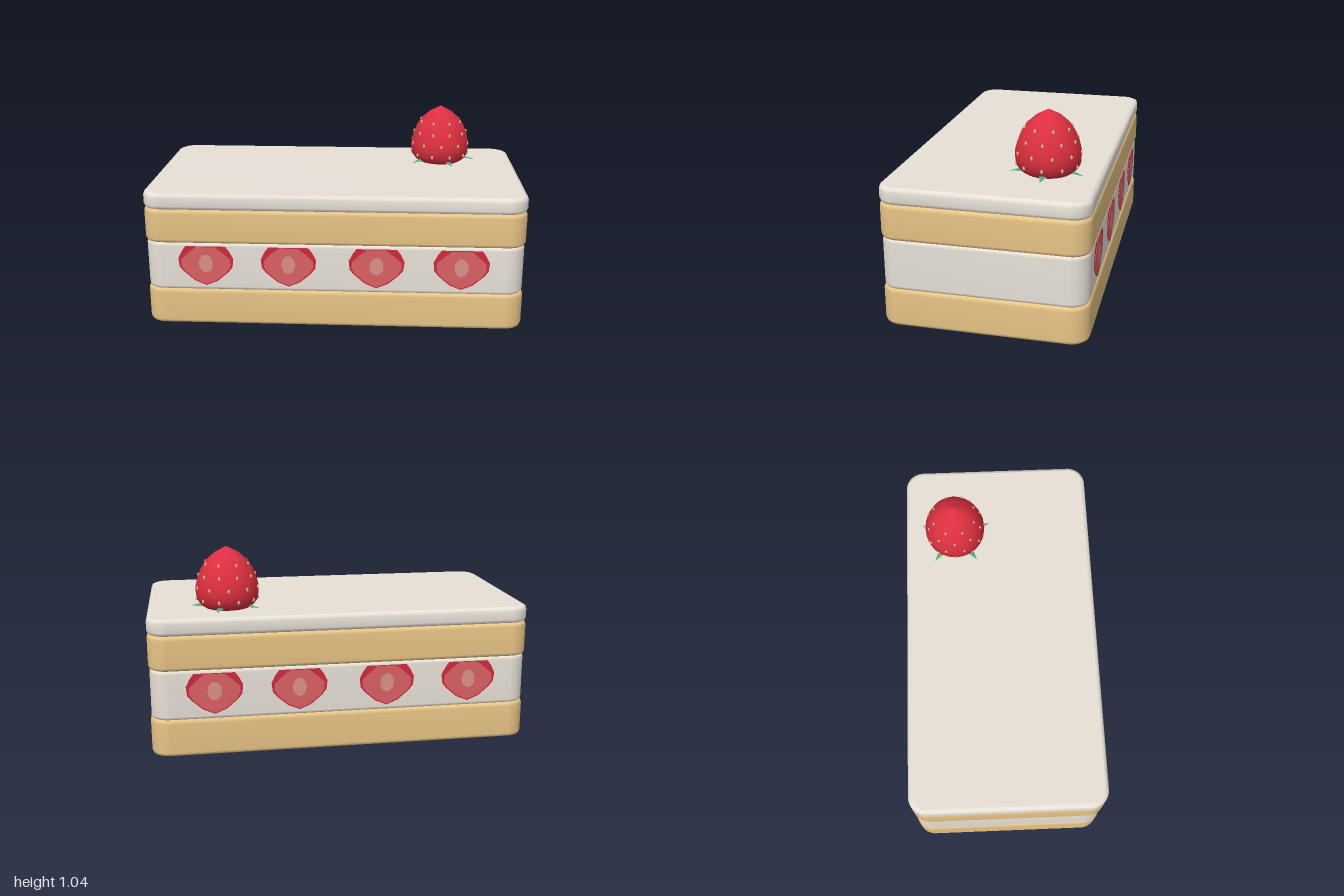
import * as THREE from 'three';
import { mergeVertices } from 'three/addons/utils/BufferGeometryUtils.js';

const material = (name, color) => {
  const m = new THREE.MeshStandardMaterial({ color });
  m.name = name;
  return m;
};

function roundedRect(hx, hz, r) {
  const s = new THREE.Shape();
  s.absarc(hx - r, hz - r, r, 0, Math.PI / 2);
  s.absarc(-hx + r, hz - r, r, Math.PI / 2, Math.PI);
  s.absarc(-hx + r, -hz + r, r, Math.PI, Math.PI * 1.5);
  s.absarc(hx - r, -hz + r, r, Math.PI * 1.5, Math.PI * 2);
  s.closePath();
  return s;
}

// Soft slab with bevelled rims and normals blended over every edge
function layerGeometry(y0, y1, hx, hz, bevel) {
  let g = new THREE.ExtrudeGeometry(roundedRect(hx - bevel, hz - bevel, 0.075), {
    depth: y1 - y0 - 2 * bevel, bevelEnabled: true, bevelThickness: bevel,
    bevelSize: bevel, bevelSegments: 2, curveSegments: 6,
  });
  g.rotateX(-Math.PI / 2);
  g.translate(0, y0 + bevel, 0);
  g.deleteAttribute('normal');
  g.deleteAttribute('uv');
  g = mergeVertices(g, 1e-4);
  g.computeVertexNormals();
  return g;
}

export function createModel() {
  const sponge = material('sponge', 0xe8c486);
  const cream = material('cream', 0xf2ebe1);
  const red = material('berry red', 0xdc2f40);
  const rind = material('slice rind', 0xcf2a3c);
  const flesh = material('slice flesh', 0xda6064);
  const core = material('slice core', 0xdb908a);
  const leafGreen = material('leaf green', 0x5aa87c);
  const seedTan = material('seed tan', 0xe0bd78);

  const cake = new THREE.Group();
  cake.name = 'cake';
  const add = (parent, name, geometry, mat) => {
    const mesh = new THREE.Mesh(geometry, mat);
    mesh.name = name;
    parent.add(mesh);
    return mesh;
  };

  // Cake layers from the bottom up
  add(cake, 'bottomSponge', layerGeometry(0, 0.2, 1, 0.52, 0.022), sponge);
  add(cake, 'creamFilling', layerGeometry(0.195, 0.46, 0.995, 0.515, 0.02), cream);
  add(cake, 'topSponge', layerGeometry(0.455, 0.64, 1, 0.52, 0.022), sponge);
  add(cake, 'topCream', layerGeometry(0.637, 0.725, 1, 0.52, 0.022), cream);

  // Cut berry slices on the front and back of the filling
  const plate = (points) => new THREE.ExtrudeGeometry(
    new THREE.Shape(points.map(([x, y]) => new THREE.Vector2(x, y))),
    { depth: 0.004, bevelEnabled: false });
  const rindShape = plate([
    [0, -0.115], [0.06, -0.09], [0.118, -0.04], [0.14, -0.012], [0.145, 0.035], [0.125, 0.075], [0.105, 0.102],
    [-0.105, 0.102], [-0.125, 0.075], [-0.145, 0.035], [-0.14, -0.012], [-0.118, -0.04], [-0.06, -0.09]]);
  const fleshShape = plate([
    [0, -0.108], [0.055, -0.085], [0.11, -0.038], [0.13, -0.005], [0.128, 0.03], [0.095, 0.062], [0.05, 0.098],
    [-0.05, 0.098], [-0.095, 0.062], [-0.128, 0.03], [-0.13, -0.005], [-0.11, -0.038], [-0.055, -0.085]]);
  const coreShape = new THREE.CircleGeometry(1, 12);
  coreShape.scale(0.037, 0.05, 1);
  for (const side of ['front', 'back']) {
    const row = new THREE.Group();
    row.name = side + 'Slices';
    row.rotation.y = side === 'front' ? 0 : Math.PI;
    [-0.67, -0.235, 0.225, 0.665].forEach((x, i) => {
      const slice = new THREE.Group();
      slice.name = 'berrySlice';
      slice.position.set(x, 0.34, 0.5125);
      slice.scale.x = i % 2 ? -1 : 1;
      add(slice, 'sliceRind', rindShape, rind);
      add(slice, 'sliceFlesh', fleshShape, flesh).position.z = 0.0018;
      add(slice, 'sliceCore', coreShape, core).position.set(0, 0.008, 0.0075);
      row.add(slice);
    });
    cake.add(row);
  }

  // Whole berry standing tip-up on the cream
  const berry = new THREE.Group();
  berry.name = 'berry';
  berry.position.set(0.58, 0.72, -0.24);
  cake.add(berry);
  const profile = [[0, 0], [0.11, 0], [0.14, 0.02], [0.16, 0.048], [0.165, 0.085], [0.164, 0.12],
    [0.153, 0.165], [0.135, 0.21], [0.108, 0.252], [0.063, 0.292], [0, 0.325]];
  add(berry, 'berryBody',
    new THREE.LatheGeometry(profile.map(([r, y]) => new THREE.Vector2(r, y)), 24), red);

  // Seeds in staggered rings
  const seed = new THREE.SphereGeometry(1, 8, 6);
  seed.scale(0.007, 0.011, 0.006);
  const rings = [[0.053, 0.161, 10, 0], [0.115, 0.164, 10, 0.5], [0.177, 0.148, 10, 0], [0.237, 0.118, 8, 0.5]];
  for (const [y, r, count, phase] of rings) {
    for (let i = 0; i < count; i++) {
      const a = ((i + phase) / count) * Math.PI * 2 + Math.PI / 2;
      const s = add(berry, 'seed', seed, seedTan);
      s.position.set(Math.sin(a) * r, y, Math.cos(a) * r);
      s.rotation.y = a;
    }
  }

  // Five pointed leaves around the base
  const leaf = new THREE.ConeGeometry(0.034, 0.11, 4).toNonIndexed();
  leaf.rotateZ(-Math.PI / 2);
  leaf.scale(1, 0.4, 1);
  leaf.rotateZ(-0.12);
  leaf.translate(0.145, 0.019, 0);
  leaf.computeVertexNormals();
  for (let i = 0; i < 5; i++) {
    add(berry, 'leaf', leaf, leafGreen).rotation.y = (i / 5) * Math.PI * 2;
  }
  return cake;
}
